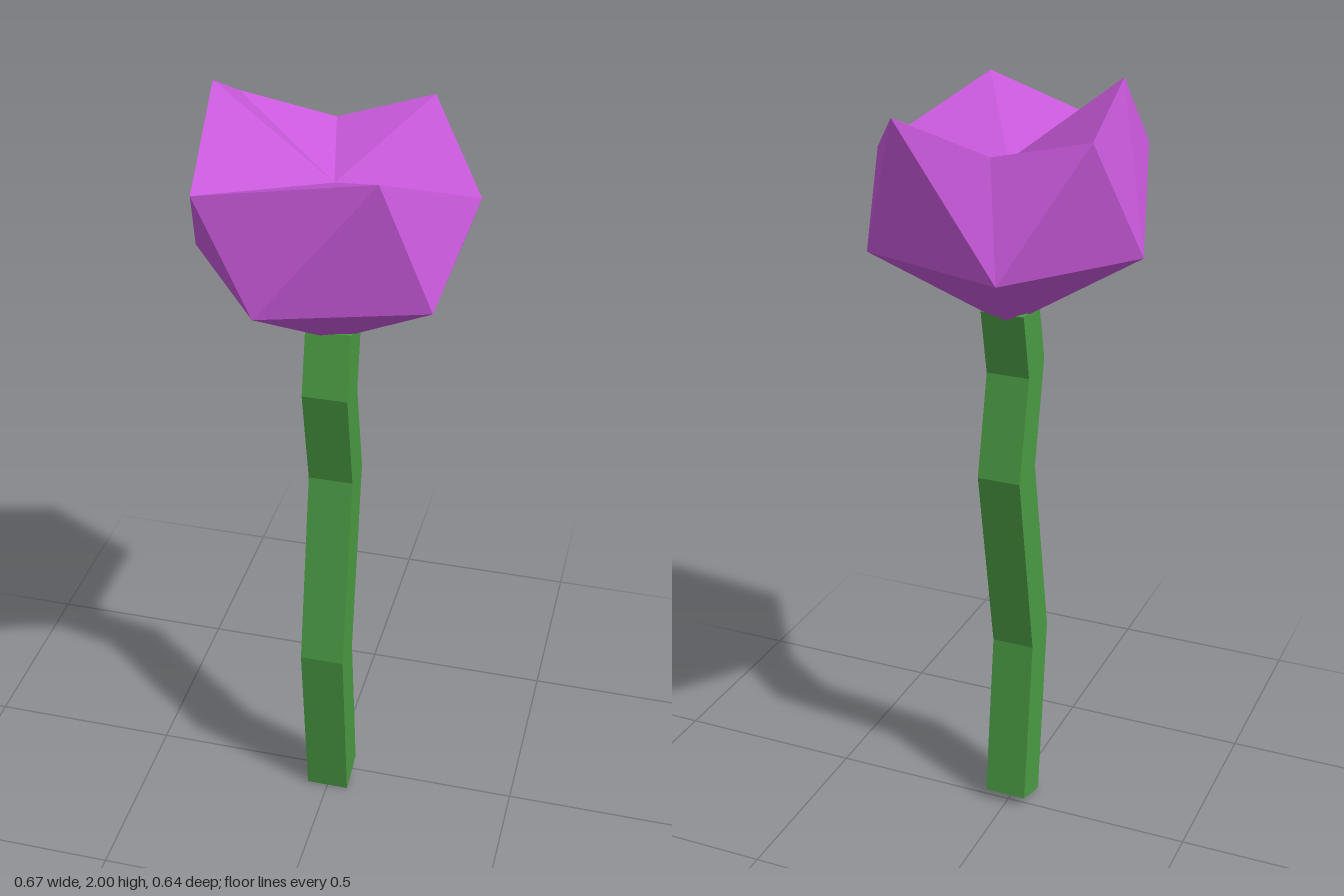
import * as THREE from 'three';

// Bent square stem: side profile in (z, y), extruded across x
function createStem() {
  const front = [[0.08, 0], [0.135, 0.495], [0.04, 1.0], [0.097, 1.27], [0.06, 1.43]];
  const back = [[-0.022, 0.03], [0.032, 0.475], [-0.062, 0.99], [-0.003, 1.25], [-0.038, 1.42]];
  const outline = [...front, ...back.reverse()].map(([z, y]) => new THREE.Vector2(-z, y));
  const width = 0.112;
  const geometry = new THREE.ExtrudeGeometry(new THREE.Shape(outline), { depth: width, bevelEnabled: false });
  geometry.translate(0, 0, -width / 2).rotateY(Math.PI / 2); // profile -z becomes +z, depth runs along x
  const stem = new THREE.Mesh(geometry, new THREE.MeshStandardMaterial({ color: 0x4a9a43, flatShading: true }));
  stem.name = 'stem';
  return stem;
}

// Faceted bloom: cone base, ring of side facets, sunken centre with an uneven rim
function createBloom() {
  const base = [0, 1.382, 0];
  const centre = [0, 1.785, 0];
  const lower = [];
  for (let k = 0; k < 5; k++) {
    const a = ((36 + 72 * k) * Math.PI) / 180;
    lower.push([0.337 * Math.cos(a), 1.59, 0.337 * Math.sin(a)]);
  }
  const upper = [
    [0.337, 1.785, 0], [0.167, 1.925, 0.287], [-0.275, 1.81, 0.2],
    [-0.28, 1.9, -0.2], [0.18, 1.92, -0.24],
  ];
  // Extra rim points: a raised tip and a dip
  const rimMiddle = { 2: [-0.278, 2.0, 0], 3: [-0.05, 1.85, -0.22] };

  const positions = [];
  const face = (...corners) => corners.forEach((c) => positions.push(...c));
  for (let k = 0; k < 5; k++) {
    const n = (k + 1) % 5;
    face(base, lower[k], lower[n]);
    face(lower[k], upper[n], lower[n]);
    const rim = rimMiddle[k] ? [upper[k], rimMiddle[k], upper[n]] : [upper[k], upper[n]];
    for (let i = 0; i + 1 < rim.length; i++) {
      face(rim[i], rim[i + 1], lower[k]);
      face(centre, rim[i + 1], rim[i]);
    }
  }
  const geometry = new THREE.BufferGeometry();
  geometry.setAttribute('position', new THREE.Float32BufferAttribute(positions, 3));
  geometry.computeVertexNormals();
  const bloom = new THREE.Mesh(geometry, new THREE.MeshStandardMaterial({ color: 0xcb5ade, flatShading: true }));
  bloom.name = 'bloom';
  return bloom;
}

export function createModel() {
  const flower = new THREE.Group();
  flower.name = 'flower';
  flower.add(createStem(), createBloom());
  return flower;
}
